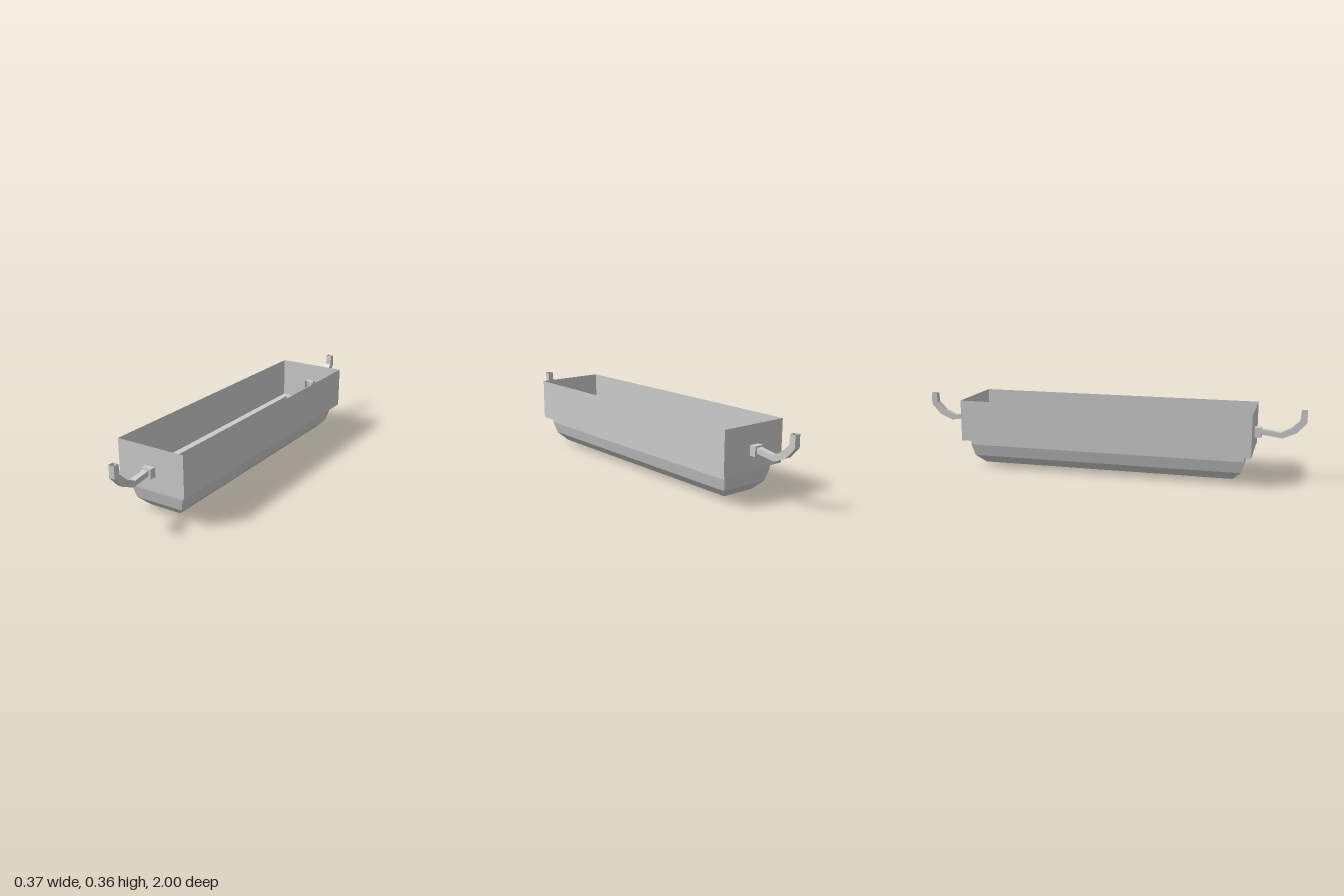
import * as THREE from 'three';

const material = new THREE.MeshStandardMaterial({
  color: 0xcccccc, flatShading: true, side: THREE.DoubleSide,
});

// Skin a list of four-cornered rings; optionally close the last ring.
function loft(name, rings, capEnd = false) {
  const pos = [];
  const quad = (a, b, c, d) => pos.push(...a, ...b, ...c, ...a, ...c, ...d);
  for (let i = 0; i < rings.length - 1; i++) {
    for (let j = 0; j < 4; j++) {
      const k = (j + 1) % 4;
      quad(rings[i][j], rings[i + 1][j], rings[i + 1][k], rings[i][k]);
    }
  }
  if (capEnd) quad(...rings[rings.length - 1]);
  const geometry = new THREE.BufferGeometry();
  geometry.setAttribute('position', new THREE.Float32BufferAttribute(pos, 3));
  geometry.computeVertexNormals();
  const mesh = new THREE.Mesh(geometry, material);
  mesh.name = name;
  return mesh;
}

// Horizontal rectangle at height y, counter-clockwise from above.
const level = ([y, x, z]) => [[x, y, z], [x, y, -z], [-x, y, -z], [-x, y, z]];

// Cross-section from a lower to an upper (z, y) point, w being half its width.
const section = (w, [z0, y0], [z1, y1]) =>
  [[-w, y0, z0], [w, y0, z0], [w, y1, z1], [-w, y1, z1]];

function createHandle() {
  const handle = new THREE.Group();
  handle.name = 'handle';

  // Socket through the end wall, open toward the inside
  const socket = [0.722, 0.783].map((z) => section(0.026, [z, 0.22], [z, 0.268]));
  handle.add(loft('handleSocket', socket, true));

  // Upturned hook, an open-ended square tube: outer and inner points in (z, y)
  const hook = [
    [[0.775, 0.235], [0.775, 0.262]],
    [[0.885, 0.22], [0.872, 0.247]],
    [[0.953, 0.25], [0.925, 0.273]],
    [[1, 0.302], [0.967, 0.312]],
    [[1, 0.362], [0.971, 0.362]],
  ].map(([outer, inner]) => section(0.015, outer, inner));
  handle.add(loft('handleHook', hook));
  return handle;
}

export function createModel() {
  const model = new THREE.Group();
  model.name = 'trough';

  // Thin upright walls, open at the top
  model.add(loft('walls', [[0.362, 0.183, 0.75], [0.15, 0.183, 0.75]].map(level)));

  // Flat ledge between the walls and the basin
  model.add(loft('ledge', [[0.15, 0.183, 0.75], [0.15, 0.146, 0.717]].map(level)));

  // Faceted basin narrowing to a flat bottom
  const basin = [
    [0.15, 0.146, 0.717],
    [0.121, 0.146, 0.715],
    [0.061, 0.13, 0.7],
    [0.017, 0.087, 0.657],
    [0, 0.027, 0.597],
  ].map(level);
  model.add(loft('basin', basin, true));

  // One handle at each end
  for (const angle of [0, Math.PI]) {
    const handle = createHandle();
    handle.name = angle ? 'backHandle' : 'frontHandle';
    handle.rotation.y = angle;
    model.add(handle);
  }
  return model;
}
